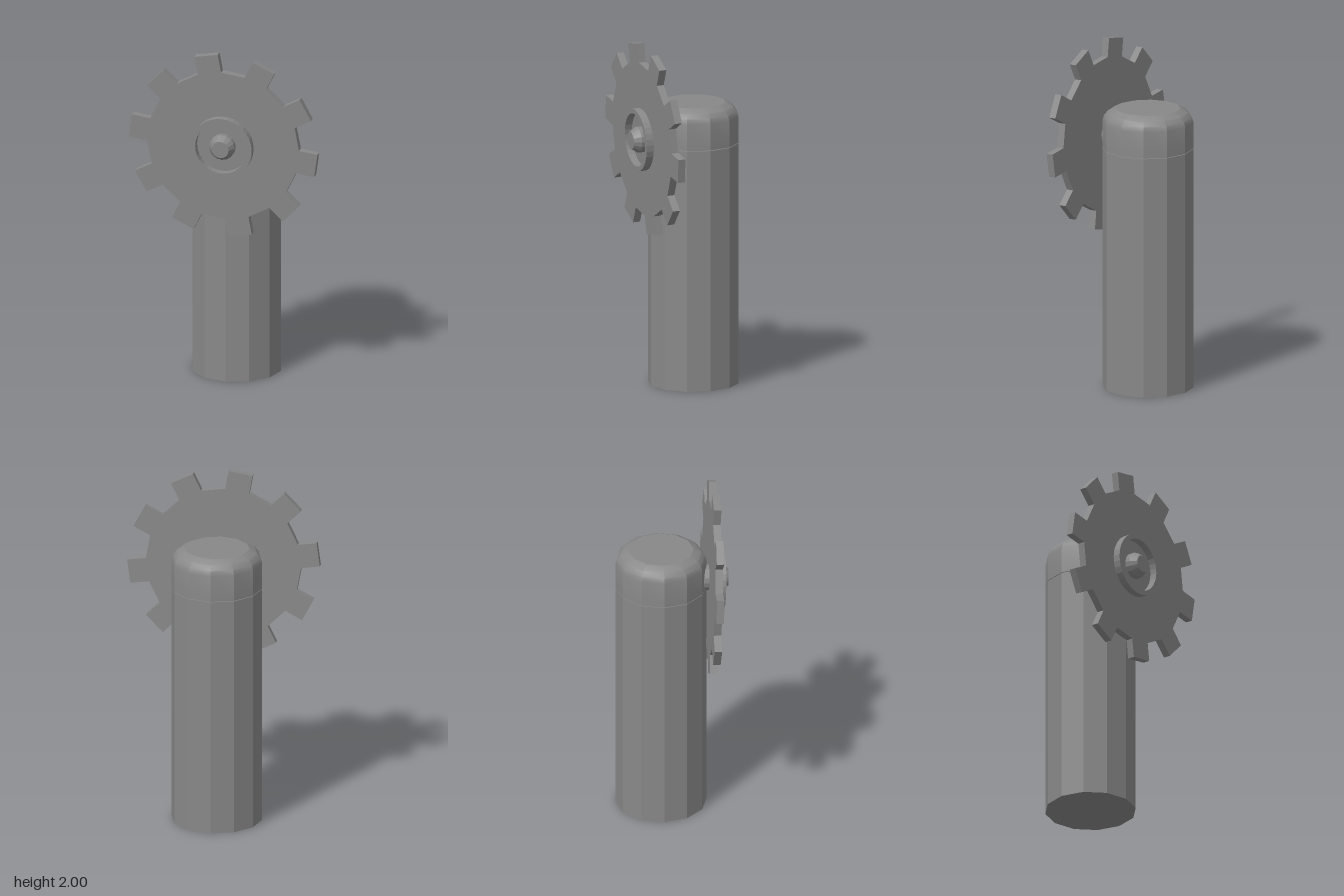
import * as THREE from 'three';
import { toCreasedNormals } from 'three/addons/utils/BufferGeometryUtils.js';

const material = new THREE.MeshStandardMaterial({ color: 0x888888 });

// Turned part from [radius, height] pairs, listed from bottom to top
function turned(name, profile, sides, crease) {
  const points = profile.map(([r, y]) => new THREE.Vector2(r, y));
  const geometry = toCreasedNormals(new THREE.LatheGeometry(points, sides), crease);
  const mesh = new THREE.Mesh(geometry, material);
  mesh.name = name;
  return mesh;
}

// Flat cog: a 20-sided disc with every second side drawn out into a square tooth
function makeCog(teeth, rootRadius, toothLength, thickness, phase) {
  const step = (Math.PI * 2) / teeth;
  const points = [];
  for (let i = 0; i < teeth; i++) {
    const mid = phase + i * step;
    const [dx, dy] = [Math.cos(mid) * toothLength, Math.sin(mid) * toothLength];
    const corner = (a) => [Math.cos(a) * rootRadius, Math.sin(a) * rootRadius];
    const [ax, ay] = corner(mid - step / 4);
    const [bx, by] = corner(mid + step / 4);
    points.push([ax, ay], [ax + dx, ay + dy], [bx + dx, by + dy], [bx, by]);
  }
  const shape = new THREE.Shape(points.map(([x, y]) => new THREE.Vector2(x, y)));
  const geometry = new THREE.ExtrudeGeometry(shape, { depth: thickness, bevelEnabled: false });
  geometry.translate(0, 0, -thickness / 2);
  const mesh = new THREE.Mesh(geometry, material);
  mesh.name = 'cog';
  return mesh;
}

export function createModel() {
  const model = new THREE.Group();
  model.name = 'cogPost';

  // Twelve-sided post; the cap has a soft shoulder and a flat top above a hairline seam
  const post = new THREE.Group();
  post.name = 'post';
  post.position.z = -0.06;
  post.add(
    turned('postBody', [[0, 0], [0.261, 0], [0.261, 1.404], [0, 1.404]], 12, 0.4),
    turned('postCap', [
      [0, 1.407], [0.261, 1.407], [0.261, 1.56], [0.253, 1.59],
      [0.232, 1.617], [0.187, 1.64], [0, 1.64],
    ], 12, 0.46),
  );
  model.add(post);

  // Cog wheel, leaning slightly forward at the top
  const wheel = new THREE.Group();
  wheel.name = 'wheel';
  wheel.position.set(0, 1.447, 0.234);
  wheel.rotation.x = 0.034;
  wheel.add(makeCog(10, 0.447, 0.109, 0.043, THREE.MathUtils.degToRad(28)));

  // Raised collar and faceted axle, turned to point forward
  const collar = turned('collar', [
    [0.153, 0.015], [0.18, 0.015], [0.18, 0.065], [0.153, 0.065], [0.153, 0.015],
  ], 32, 0.1);
  const axle = turned('axle', [
    [0, -0.07], [0.075, -0.07], [0.075, 0.05], [0.066, 0.065], [0.05, 0.09], [0, 0.09],
  ], 16, 0.25);
  for (const part of [collar, axle]) {
    part.rotation.x = Math.PI / 2;
    wheel.add(part);
  }
  model.add(wheel);

  return model;
}
